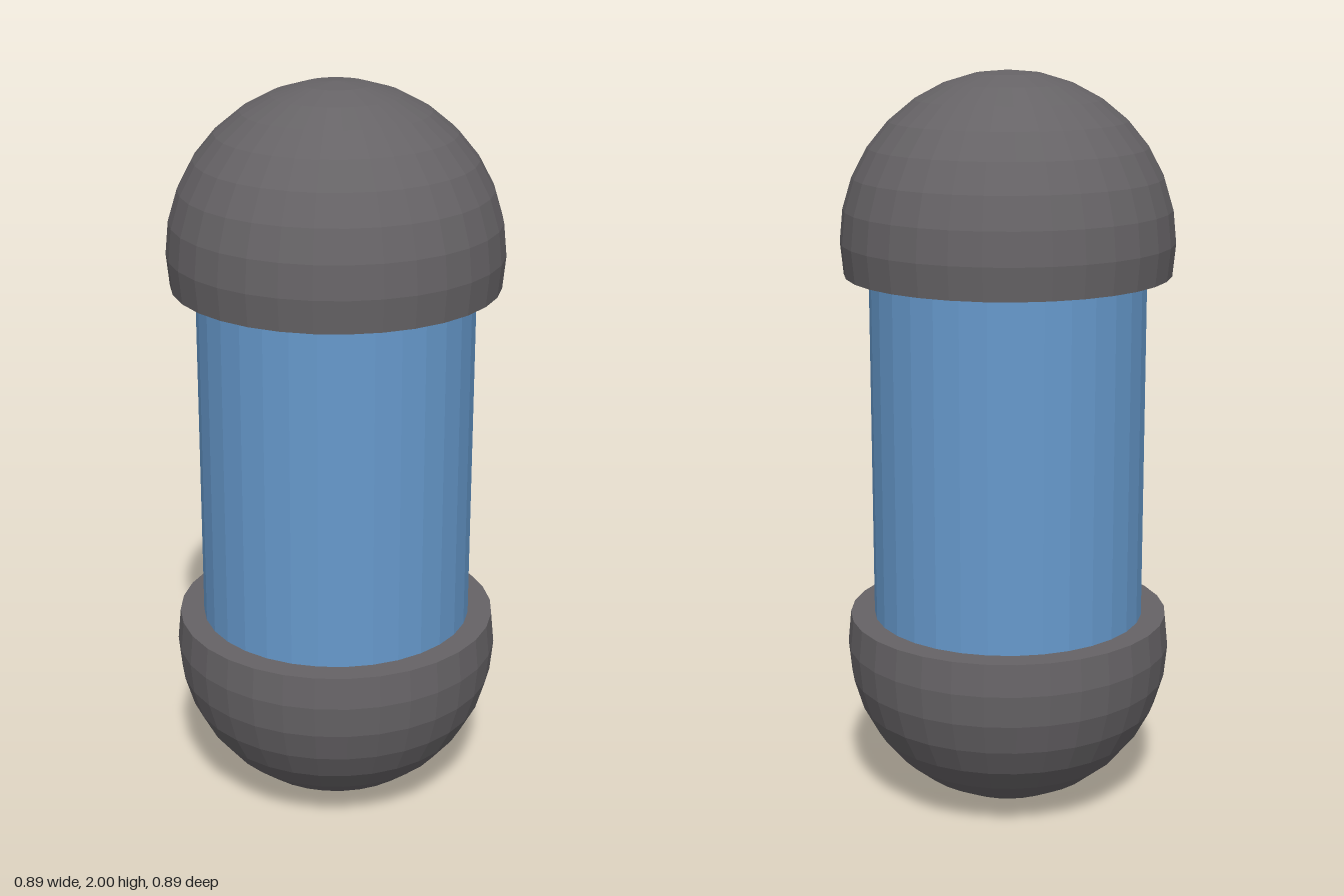
import * as THREE from 'three';

const R = 0.443;       // dome radius
const SIDES = 32;
const STEP = Math.PI / 16;

// Dome standing on its pole at y = 0, running one ring past the equator, closed by a flat rim
function domeGeometry() {
  const profile = [];
  for (let i = 0; i <= 9; i++) {
    profile.push(new THREE.Vector2(R * Math.sin(i * STEP), R - R * Math.cos(i * STEP)));
  }
  profile.push(new THREE.Vector2(0, profile[9].y));
  return new THREE.LatheGeometry(profile, SIDES);
}

export function createModel() {
  const model = new THREE.Group();
  model.name = 'capsule';
  const grey = new THREE.MeshStandardMaterial({ color: 0x666366, flatShading: true });
  const blue = new THREE.MeshStandardMaterial({ color: 0x6699cc, flatShading: true });

  // Matching end caps, the upper one turned over
  const dome = domeGeometry();
  const lowerCap = new THREE.Mesh(dome, grey);
  lowerCap.name = 'lowerCap';
  const upperCap = new THREE.Mesh(dome, grey);
  upperCap.name = 'upperCap';
  upperCap.rotation.x = Math.PI;
  upperCap.position.y = 2;

  // Tube between the caps, its ends sunk into them
  const tube = new THREE.Mesh(new THREE.CylinderGeometry(0.369, 0.369, 1.1, SIDES), blue);
  tube.name = 'tube';
  tube.position.y = 1;

  model.add(lowerCap, upperCap, tube);
  return model;
}
